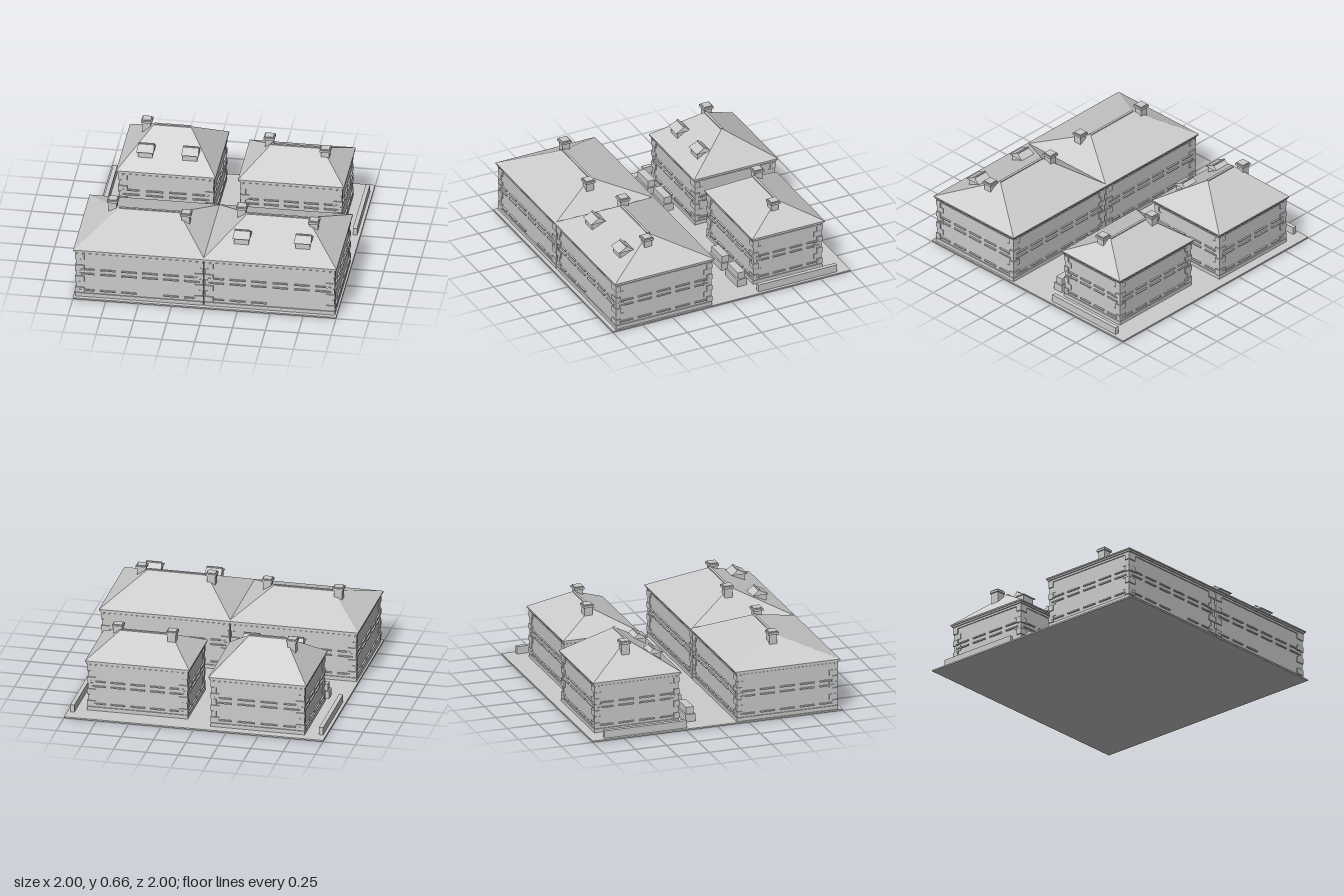
import * as THREE from 'three';

const stone = new THREE.MeshStandardMaterial({ color: 0xcccccc });
stone.name = 'pale grey stone';

function add(parent, name, geometry) {
  const mesh = new THREE.Mesh(geometry, stone);
  mesh.name = name;
  parent.add(mesh);
  return mesh;
}

// Box given by its extents
function box(parent, name, x0, x1, y0, y1, z0, z1) {
  const m = add(parent, name, new THREE.BoxGeometry(x1 - x0, y1 - y0, z1 - z0));
  m.position.set((x0 + x1) / 2, (y0 + y1) / 2, (z0 + z1) / 2);
  return m;
}

// Closed hipped roof (a gable when the ridge is as long as the eaves)
function hipGeometry(x0, x1, z0, z1, y, r0, r1, rz, ry) {
  const g = new THREE.BufferGeometry();
  g.setAttribute('position', new THREE.Float32BufferAttribute([
    x0, y, z0, x1, y, z0, x1, y, z1, x0, y, z1, r0, ry, rz, r1, ry, rz], 3));
  g.setIndex([3, 2, 5, 3, 5, 4, 1, 0, 4, 1, 4, 5, 2, 1, 5, 0, 3, 4, 0, 1, 2, 0, 2, 3]);
  const flat = g.toNonIndexed();
  flat.computeVertexNormals();
  return flat;
}

// Chimney stack with a projecting cap and a smaller top
function chimney(parent, x, z, top) {
  const g = new THREE.Group();
  g.name = 'chimney';
  const part = (name, h, y0, y1) => box(g, name, x - h, x + h, y0, y1, z - h, z + h);
  part('chimneyStack', 0.031, 0.42, top - 0.022);
  part('chimneyCap', 0.041, top - 0.025, top - 0.008);
  part('chimneyTop', 0.033, top - 0.008, top);
  parent.add(g);
}

// Dormer with its ridge running along x
function dormer(parent, x, z, y) {
  const g = new THREE.Group();
  g.name = 'dormer';
  box(g, 'dormerBody', x - 0.055, x + 0.055, y - 0.1, y, z - 0.05, z + 0.05);
  add(g, 'dormerRoof', hipGeometry(x - 0.066, x + 0.066, z - 0.063, z + 0.067, y,
    x - 0.06, x + 0.06, z - 0.008, y + 0.038));
  box(g, 'dormerRidge', x - 0.06, x + 0.06, y + 0.033, y + 0.043, z - 0.014, z - 0.002);
  parent.add(g);
}

// Alternating corner blocks
function quoins(parent, x, z, sx, sz) {
  for (let i = 0; i < 7; i++) {
    const long = i % 2 === 0;
    const lx = long ? 0.06 : 0.035, lz = long ? 0.035 : 0.06;
    const out = long ? 0.009 : 0.004;
    const y = 0.045 + i * 0.048;
    const m = add(parent, 'quoin', new THREE.BoxGeometry(lx + out, 0.044, lz + out));
    m.position.set(x + sx * (out - lx) / 2, y + 0.022, z + sz * (out - lz) / 2);
  }
}

// Rows of ledges below and above the windows on one wall
function ledges(parent, axis, from, to, face, count, skip = []) {
  const step = (to - from) / count;
  [0.067, 0.208, 0.247].forEach((y, row) => {
    for (let i = 0; i < count; i++) {
      if (row === 0 && skip.includes(i)) continue;
      const c = from + step * (i + 0.5), w = step * 0.36, d = 0.012;
      if (axis === 'x') box(parent, 'windowLedge', c - w, c + w, y - 0.005, y + 0.005, face - d, face + d);
      else box(parent, 'windowLedge', face - d, face + d, y - 0.005, y + 0.005, c - w, c + w);
    }
  });
}

function building(spec) {
  const { name, x: [x0, x1], z: [z0, z1], ridge: [r0, r1, rz, ry], skip = [], closed = [] } = spec;
  const g = new THREE.Group();
  g.name = name;
  const inset = (part, d, y0, y1) => box(g, part, x0 + d, x1 - d, y0, y1, z0 + d, z1 - d);
  inset('walls', 0.022, 0.005, 0.4);
  inset('plinth', 0.014, 0.005, 0.04);
  inset('lowerCornice', 0.014, 0.375, 0.385);
  inset('frieze', 0.017, 0.385, 0.393);
  inset('cornice', 0.008, 0.393, 0.405);
  inset('eaves', 0, 0.405, 0.415);
  add(g, 'hippedRoof', hipGeometry(x0, x1, z0, z1, 0.415, r0, r1, rz, ry));
  box(g, 'ridgeCap', r0, r1, ry - 0.012, ry + 0.004, rz - 0.009, rz + 0.009);

  const a = x0 + 0.022, b = x1 - 0.022, c = z0 + 0.022, d = z1 - 0.022;
  for (const sx of [-1, 1]) {
    for (const sz of [-1, 1]) quoins(g, sx < 0 ? a : b, sz < 0 ? c : d, sx, sz);
  }
  const nx = Math.round((b - a) / 0.16), nz = Math.round((d - c) / 0.155);
  ledges(g, 'x', a, b, d, nx, skip);
  ledges(g, 'x', a, b, c, nx);
  if (!closed.includes('right')) ledges(g, 'z', c, d, a, nz);
  if (!closed.includes('left')) ledges(g, 'z', c, d, b, nz);

  spec.chimneys.forEach(p => chimney(g, ...p));
  (spec.dormers || []).forEach(p => dormer(g, ...p));
  return g;
}

export function createModel() {
  const model = new THREE.Group();
  model.name = 'cityBlock';
  box(model, 'groundSlab', -1, 1, 0, 0.011, -1, 1);

  // Two joined houses in front, two detached ones behind
  const houses = [
    { name: 'frontRightHouse', x: [-1, 0], z: [0.145, 0.982], ridge: [-0.71, -0.26, 0.56, 0.568],
      skip: [3], closed: ['left'], chimneys: [[-0.765, 0.52, 0.624], [-0.197, 0.605, 0.602]] },
    { name: 'frontLeftHouse', x: [-0.02, 1], z: [0.145, 0.982], ridge: [0.265, 0.715, 0.56, 0.602],
      skip: [3, 4, 5], closed: ['right'], chimneys: [[0.215, 0.52, 0.646], [0.776, 0.605, 0.62]],
      dormers: [[0.255, 0.778, 0.535], [0.72, 0.778, 0.535]] },
    { name: 'backRightHouse', x: [-0.855, -0.1], z: [-0.942, -0.236], ridge: [-0.615, -0.34, -0.59, 0.642],
      chimneys: [[-0.677, -0.63, 0.664]],
      dormers: [[-0.65, -0.395, 0.535], [-0.31, -0.395, 0.535]] },
    { name: 'backLeftHouse', x: [0.07, 0.875], z: [-0.845, -0.236], ridge: [0.28, 0.665, -0.545, 0.57],
      chimneys: [[0.26, -0.585, 0.622], [0.698, -0.5, 0.6]] },
  ];
  houses.forEach(h => model.add(building(h)));

  // Planters with clipped hedges in the yard
  for (const [x0, x1] of [[-0.86, -0.662], [-0.59, -0.39], [0.375, 0.573], [0.643, 0.842]]) {
    box(model, 'planter', x0, x1, 0.008, 0.07, -0.208, -0.126);
    box(model, 'planterHedge', x0 + 0.012, x1 - 0.012, 0.06, 0.124, -0.197, -0.137);
  }

  // Low boundary walls along both sides
  for (const s of [-1, 1]) {
    box(model, 'boundaryWall', s * 0.96 - 0.016, s * 0.96 + 0.016, 0.008, 0.07, -0.897, -0.236);
  }
  return model;
}
